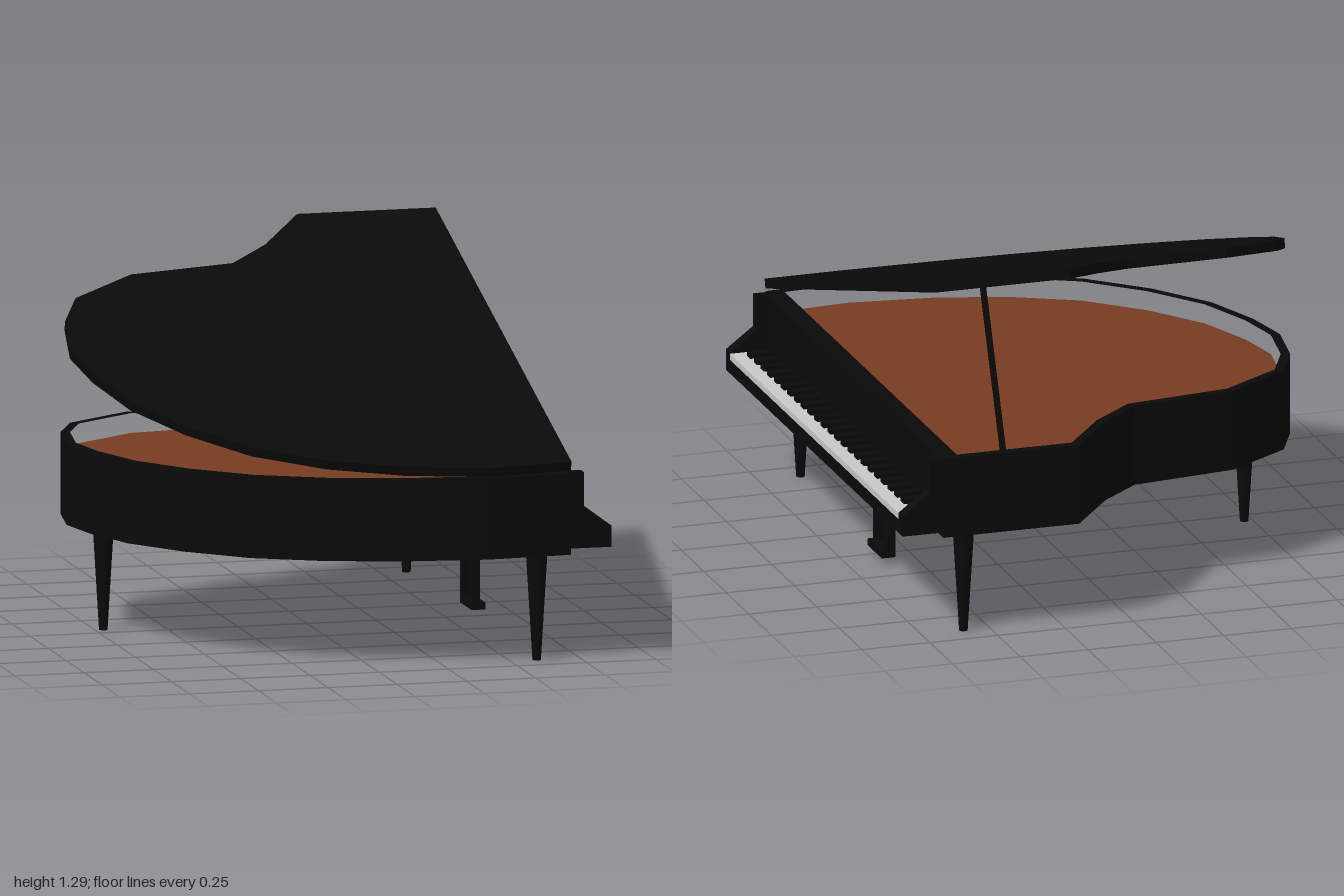
import * as THREE from 'three';

const paint = (color) => new THREE.MeshStandardMaterial({ color });

// Case outline seen from above, as [x, -z], running clockwise
const OUTLINE = [
  [0.7, -0.97], [0.4, -0.99], [0.1, -0.95], [-0.16, -0.875], [-0.4, -0.75], [-0.59, -0.57],
  [-0.74, -0.36], [-0.82, -0.14], [-0.855, 0.05], [-0.82, 0.27], [-0.74, 0.44], [-0.5, 0.6],
  [-0.12, 0.65], [0.03, 0.78], [0.2, 1], [0.7, 1],
].map(([x, y]) => new THREE.Vector2(x, y));

// Moves every edge inward by d, with mitred corners
function inset(points, d) {
  const n = points.length;
  const normal = (a, b) => new THREE.Vector2(b.y - a.y, a.x - b.x).normalize();
  return points.map((p, i) => {
    const n1 = normal(points[(i + n - 1) % n], p);
    const n2 = normal(p, points[(i + 1) % n]);
    return p.clone().addScaledVector(n1.clone().add(n2), d / (1 + n1.dot(n2)));
  });
}

// Horizontal slab from an outline, standing between two heights
function slab(points, y0, y1, hole) {
  const shape = new THREE.Shape(points);
  if (hole) shape.holes.push(new THREE.Path(hole));
  const geo = new THREE.ExtrudeGeometry(shape, { depth: y1 - y0, bevelEnabled: false });
  return geo.rotateX(-Math.PI / 2).translate(0, y0, 0);
}

export function createModel() {
  const model = new THREE.Group();
  const black = paint(0x0a0a0a);
  const brown = paint(0x7a3d22);
  const ivory = paint(0xcccccc);

  function add(name, geometry, material = black, parent = model) {
    const mesh = new THREE.Mesh(geometry, material);
    mesh.name = name;
    parent.add(mesh);
    return mesh;
  }
  // Box given by its limits on each axis
  const box = (name, [x0, x1], [y0, y1], [z0, z1], material, parent) =>
    add(name, new THREE.BoxGeometry(x1 - x0, y1 - y0, z1 - z0), material, parent)
      .position.set((x0 + x1) / 2, (y0 + y1) / 2, (z0 + z1) / 2);

  // Case: hollow rim, bottom and soundboard
  const inner = inset(OUTLINE, 0.033);
  inner.forEach((p) => { p.x = Math.min(p.x, 0.64); });
  add('rim', slab(OUTLINE, 0.38, 0.67, inner));
  add('bottomPanel', slab(inner, 0.38, 0.4));
  add('soundboard', slab(inner, 0.58, 0.6), brown);

  // Lid, hinged along the +z side
  const lid = new THREE.Group();
  lid.name = 'lid';
  lid.position.set(0, 0.67, 1);
  lid.rotation.x = 0.297;
  model.add(lid);
  add('lidPanel', slab(OUTLINE, 0, 0.035).translate(0, 0, -1), black, lid);

  // Prop stick holding the lid
  const foot = new THREE.Vector3(0.47, 0.6, -0.95);
  foot.set(0.47, 0.65, -0.975);
  const head = new THREE.Vector3(0.47, 1.215, -0.74);
  const prop = add('propStick', new THREE.BoxGeometry(0.018, foot.distanceTo(head), 0.018));
  prop.position.lerpVectors(foot, head, 0.5);
  prop.quaternion.setFromUnitVectors(new THREE.Vector3(0, 1, 0), head.clone().sub(foot).normalize());

  // Keyboard: bed, fallboard and sloping cheeks
  const keyboard = new THREE.Group();
  keyboard.name = 'keyboard';
  model.add(keyboard);
  box('keyBed', [0.7, 0.85], [0.4, 0.45], [-0.955, 0.915], black, keyboard);
  box('fallboard', [0.7, 0.712], [0.4, 0.67], [-0.955, 0.915], black, keyboard);
  const cheekShape = new THREE.Shape([
    [0.7, 0.4], [0.85, 0.4], [0.85, 0.475], [0.75, 0.55], [0.75, 0.67], [0.7, 0.67],
  ].map(([x, y]) => new THREE.Vector2(x, y)));
  for (const z of [-1, 0.915]) {
    const geo = new THREE.ExtrudeGeometry(cheekShape, { depth: 0.045, bevelEnabled: false });
    add('cheek', geo.translate(0, 0, z), black, keyboard);
  }

  // Keys
  box('whiteKeys', [0.71, 0.85], [0.45, 0.472], [-0.955, 0.915], ivory, keyboard);
  for (let i = 0; i < 25; i++) {
    const z = -0.92 + i * 0.074;
    box('blackKey', [0.71, 0.8], [0.472, 0.488], [z - 0.018, z + 0.018], black, keyboard);
  }

  // Tapered legs
  for (const [x, z] of [[0.595, 0.9], [0.595, -0.905], [-0.72, -0.06]]) {
    add('leg', new THREE.CylinderGeometry(0.038, 0.015, 0.38, 16)).position.set(x, 0.19, z);
  }

  // Pedal frame
  const pedals = new THREE.Group();
  pedals.name = 'pedalFrame';
  model.add(pedals);
  for (const z of [0.008, -0.115]) {
    box('pedalPost', [0.588, 0.618], [0.025, 0.39], [z - 0.017, z + 0.017], black, pedals);
  }
  box('pedalBar', [0.588, 0.638], [0.025, 0.05], [-0.132, 0.025], black, pedals);

  return model;
}
